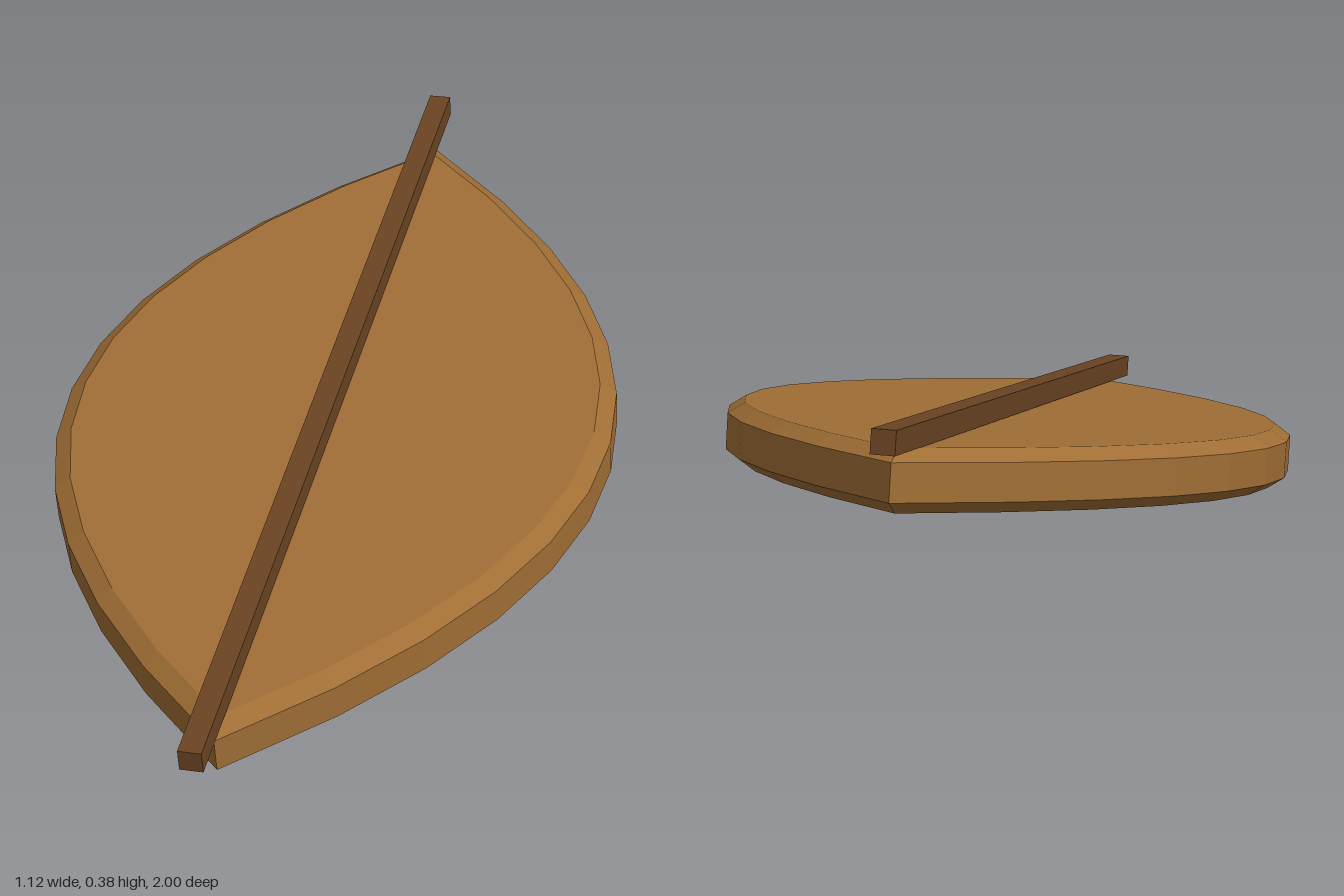
import * as THREE from 'three';

export function createModel() {
  const model = new THREE.Group();

  // Everything lies in one plane: turned in plane, then tilted up at the back
  const tilt = -Math.PI / 2 + 0.12;
  const turn = 0.3;

  const add = (name, geometry, color, x, y, z) => {
    const material = new THREE.MeshStandardMaterial({ color, flatShading: true });
    const mesh = new THREE.Mesh(geometry, material);
    mesh.name = name;
    mesh.rotation.set(tilt, 0, turn);
    mesh.position.set(x, y, z);
    model.add(mesh);
  };

  // Leaf blade: two mirrored arcs meeting in pointed tips, with a chamfered rim
  const halfLength = 0.896, bulge = 1.03, wall = 0.07;
  const outline = new THREE.Shape();
  outline.moveTo(0, -halfLength);
  outline.quadraticCurveTo(bulge, 0, 0, halfLength);
  outline.quadraticCurveTo(-bulge, 0, 0, -halfLength);
  const blade = new THREE.ExtrudeGeometry(outline, {
    depth: wall,
    curveSegments: 12,
    bevelEnabled: true,
    bevelThickness: 0.022,
    bevelSize: 0.032,
    bevelSegments: 1,
  });
  blade.translate(0, 0, -wall / 2);
  add('leafBlade', blade, 0xa06e35, 0, 0.163, -0.01);

  // Straight midrib resting on the blade and reaching past both tips
  add('midrib', new THREE.BoxGeometry(0.044, 2.09, 0.044), 0x6b4423, -0.012, 0.2425, 0);

  return model;
}
